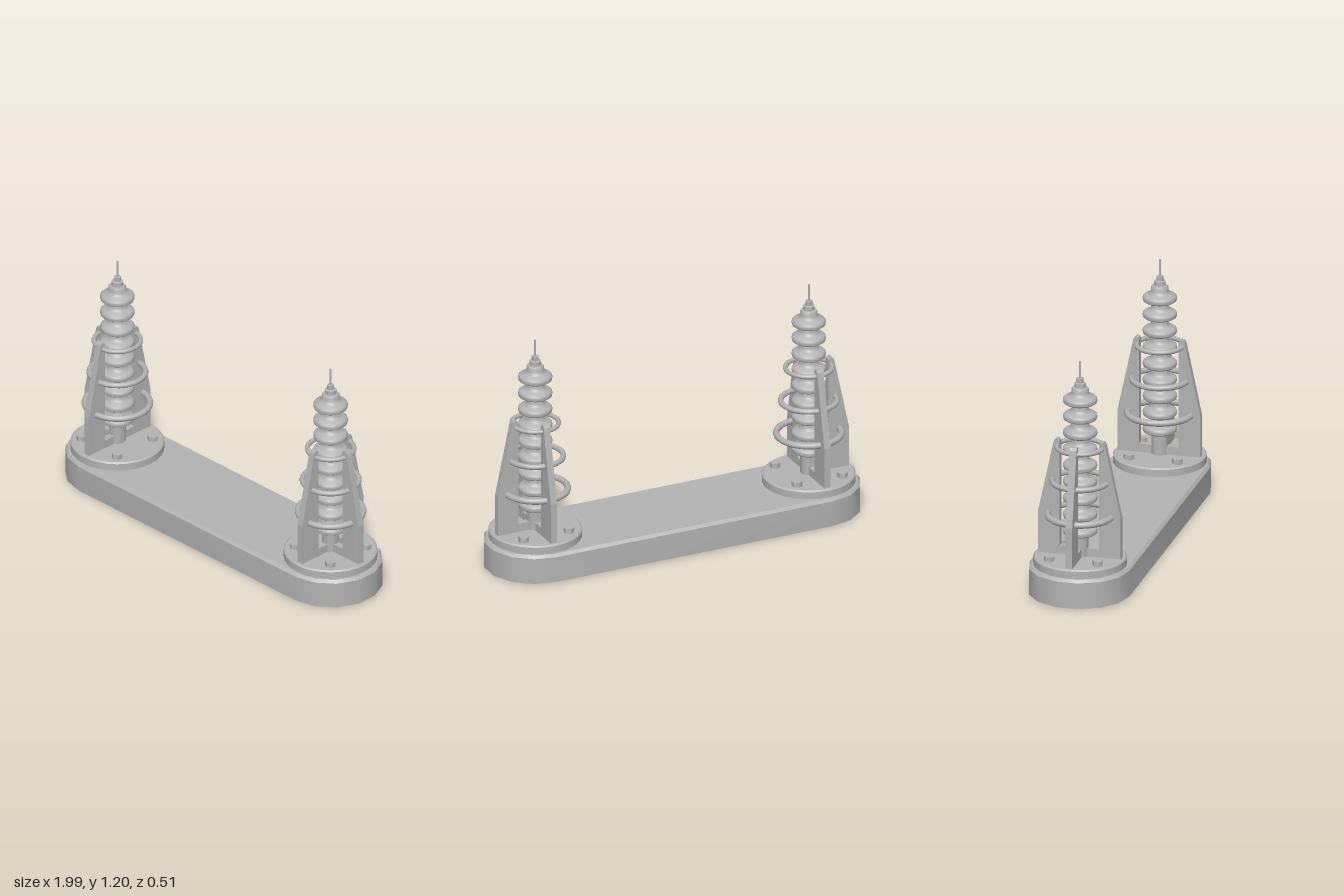
import * as THREE from 'three';
import { toCreasedNormals } from 'three/addons/utils/BufferGeometryUtils.js';
import { ConvexGeometry } from 'three/addons/geometries/ConvexGeometry.js';

const grey = new THREE.MeshStandardMaterial({ color: 0xb3b3b3 });
grey.name = 'grey';

function add(parent, name, geometry, x = 0, y = 0, z = 0) {
  const mesh = new THREE.Mesh(geometry, grey);
  mesh.name = name;
  mesh.position.set(x, y, z);
  parent.add(mesh);
  return mesh;
}

function lathe(points, segments) {
  const profile = points.map(([r, y]) => new THREE.Vector2(r, y));
  return toCreasedNormals(new THREE.LatheGeometry(profile, segments), 0.7);
}

// Long plinth with rounded ends and a chamfered top edge
function baseGeometry() {
  const points = [];
  for (const [r, y] of [[0.253, 0], [0.253, 0.133], [0.24, 0.147]]) {
    for (const side of [-1, 1]) {
      for (let i = 0; i <= 7; i++) {
        const a = -Math.PI / 2 + (i / 7) * Math.PI;
        points.push(new THREE.Vector3(side * (0.753 + r * Math.cos(a) * 0.985 - 0.002), y, r * Math.sin(a)));
      }
    }
  }
  return toCreasedNormals(new ConvexGeometry(points), 0.6);
}

// Stack of ribbed sheds with a stepped cap
function insulatorGeometry() {
  const points = [[0.042, 0.19]];
  for (let i = 0; i < 9; i++) {
    const y = 0.32 + i * 0.085;
    points.push([0.042, y - 0.022], [0.072, y - 0.021], [0.082, y - 0.014], [0.085, y - 0.002],
      [0.083, y + 0.008], [0.075, y + 0.015], [0.058, y + 0.02], [0.048, y + 0.028], [0.043, y + 0.04]);
  }
  points.push([0.043, 1.055], [0.038, 1.063], [0.028, 1.065], [0.028, 1.086], [0.017, 1.089],
    [0.017, 1.111], [0.005, 1.112], [0.005, 1.198], [0, 1.198]);
  return lathe(points, 28);
}

// Tapered support fin with a foot reaching in to the column
function finGeometry() {
  const outline = [[0.02, 0.19], [0.21, 0.19], [0.21, 0.4], [0.13, 0.776], [0.122, 0.788],
    [0.108, 0.788], [0.1, 0.778], [0.1, 0.232], [0.02, 0.232]];
  const shape = new THREE.Shape(outline.map(([x, y]) => new THREE.Vector2(x, y)));
  const geometry = new THREE.ExtrudeGeometry(shape, { depth: 0.034, bevelEnabled: false });
  return geometry.translate(0, 0, -0.017);
}

function createTower() {
  const tower = new THREE.Group();
  add(tower, 'mountingDisc',
    lathe([[0, 0.145], [0.23, 0.145], [0.23, 0.183], [0.222, 0.19], [0, 0.19]], 32));
  add(tower, 'insulator', insulatorGeometry());

  // Fins on the outer, front and back sides
  const fin = finGeometry();
  for (const angle of [0, Math.PI / 2, -Math.PI / 2]) {
    add(tower, 'supportFin', fin).rotation.y = angle;
  }

  // Coil rings narrowing upward
  for (const [radius, tube, y] of [[0.16, 0.016, 0.4], [0.138, 0.014, 0.575], [0.115, 0.012, 0.752]]) {
    add(tower, 'coilRing', new THREE.TorusGeometry(radius, tube, 10, 36).rotateX(Math.PI / 2), 0, y, 0);
  }

  // Hexagonal bolts on the diagonals
  const bolt = toCreasedNormals(new THREE.CylinderGeometry(0.027, 0.027, 0.026, 6), 0.5);
  for (const x of [-0.123, 0.123]) {
    for (const z of [-0.123, 0.123]) add(tower, 'bolt', bolt, x, 0.202, z);
  }
  return tower;
}

export function createModel() {
  const model = new THREE.Group();
  model.name = 'twinCoilBase';
  add(model, 'base', baseGeometry());

  // Two towers, each with its middle fin facing outward
  for (const side of [1, -1]) {
    const tower = createTower();
    tower.name = side > 0 ? 'leftTower' : 'rightTower';
    tower.position.x = side * 0.743;
    tower.rotation.y = side > 0 ? 0 : Math.PI;
    model.add(tower);
  }
  return model;
}
